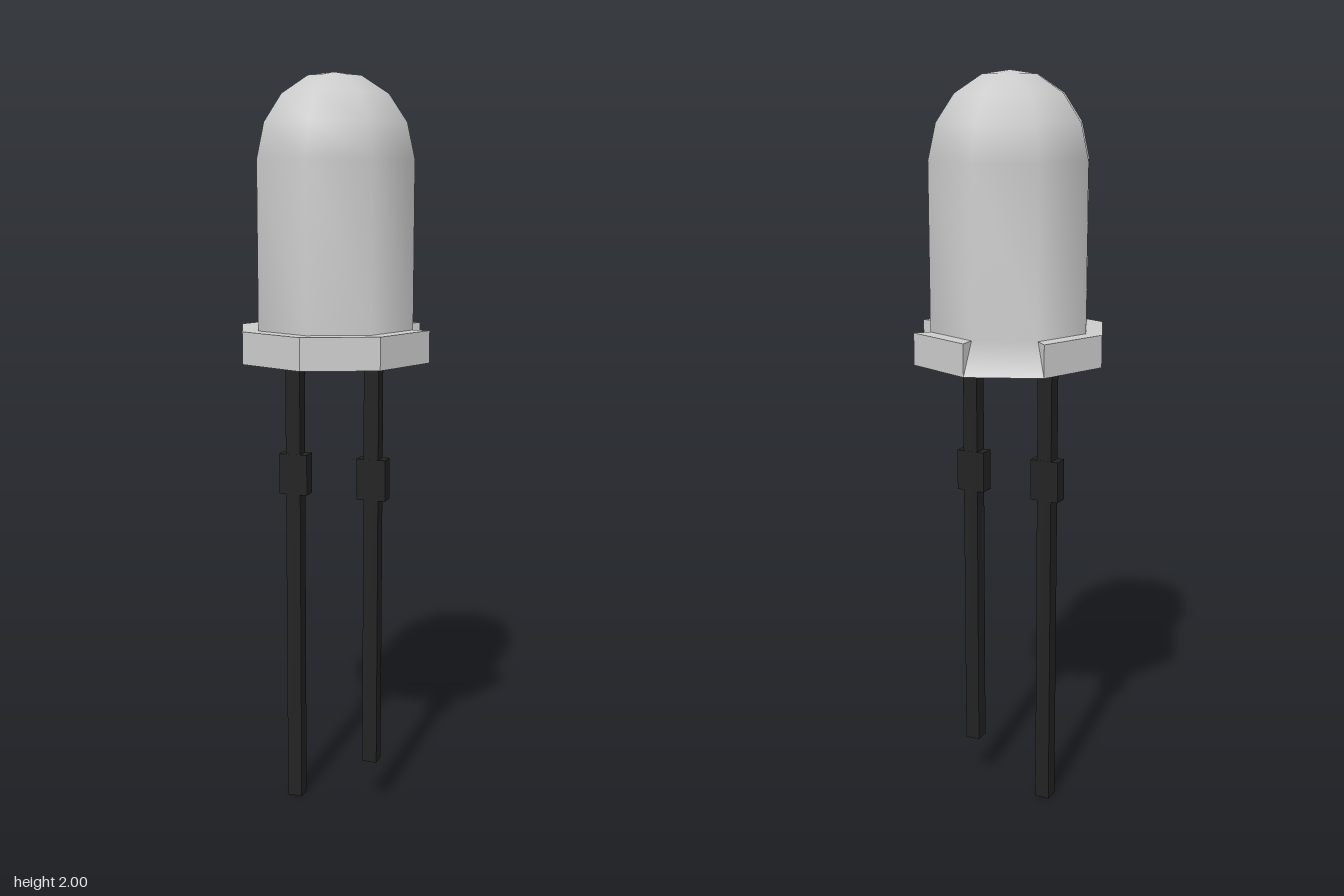
import * as THREE from 'three';
import { mergeGeometries, mergeVertices } from 'three/addons/utils/BufferGeometryUtils.js';

const SIDES = 8;
const BODY_R = 0.218, COLLAR_R = 0.263;
const COLLAR_Y0 = 1.26, COLLAR_Y1 = 1.345;
const SLOPED = [2, 4]; // collar sides that fall away as a slope instead of a step

// Corner k of an octagonal ring
const corner = (k, r, y) => {
  const a = (k * Math.PI * 2) / SIDES;
  return [r * Math.sin(a), y, r * Math.cos(a)];
};
const quad = (a, b, c, d) => [...a, ...b, ...c, ...a, ...c, ...d];

function fromTriangles(points) {
  const g = new THREE.BufferGeometry();
  g.setAttribute('position', new THREE.Float32BufferAttribute(points, 3));
  g.computeVertexNormals();
  return g;
}

// Domed lens, smooth-shaded together with the two slopes at its foot
function lensGeometry() {
  const profile = [
    [BODY_R, COLLAR_Y1], [BODY_R, 1.78], [0.197, 1.872],
    [0.148, 1.943], [0.074, 1.99], [0, 2],
  ].map(([r, y]) => new THREE.Vector2(r, y));
  const lathe = new THREE.LatheGeometry(profile, SIDES).toNonIndexed();
  const slopes = fromTriangles(SLOPED.flatMap((k) => quad(
    corner(k, COLLAR_R, COLLAR_Y0), corner(k + 1, COLLAR_R, COLLAR_Y0),
    corner(k + 1, BODY_R, COLLAR_Y1), corner(k, BODY_R, COLLAR_Y1))));
  for (const g of [lathe, slopes]) {
    g.deleteAttribute('normal');
    g.deleteAttribute('uv');
  }
  const merged = mergeVertices(mergeGeometries([lathe, slopes]), 1e-4);
  merged.computeVertexNormals();
  return merged;
}

// Stepped collar: outer wall and flat top, or end triangles beside a slope
function collarGeometry() {
  const tris = [];
  for (let k = 0; k < SIDES; k++) {
    const [a, b] = [k, k + 1].map((i) => ({
      low: corner(i, COLLAR_R, COLLAR_Y0),
      high: corner(i, COLLAR_R, COLLAR_Y1),
      inner: corner(i, BODY_R, COLLAR_Y1),
    }));
    if (SLOPED.includes(k)) {
      tris.push(...a.low, ...a.inner, ...a.high, ...b.low, ...b.high, ...b.inner);
    } else {
      tris.push(...quad(a.low, b.low, b.high, a.high));
      tris.push(...quad(a.high, b.high, b.inner, a.inner));
    }
  }
  return fromTriangles(tris);
}

export function createModel() {
  const model = new THREE.Group();
  const grey = new THREE.MeshStandardMaterial({ color: 0xcccccc });
  const black = new THREE.MeshStandardMaterial({ color: 0x222222 });

  const add = (parent, name, geometry, material) => {
    const mesh = new THREE.Mesh(geometry, material);
    mesh.name = name;
    parent.add(mesh);
    return mesh;
  };

  add(model, 'lens', lensGeometry(), grey);
  add(model, 'collar', collarGeometry(), grey);
  add(model, 'base', new THREE.CircleGeometry(COLLAR_R, SIDES).rotateX(Math.PI / 2), grey)
    .position.y = COLLAR_Y0;

  // Wire legs of unequal length, each with a wider stop
  const addLeg = (name, x, bottom) => {
    const leg = new THREE.Group();
    leg.name = name;
    leg.position.x = x;
    const height = COLLAR_Y0 - bottom;
    add(leg, 'wire', new THREE.BoxGeometry(0.041, height, 0.041), black)
      .position.y = bottom + height / 2;
    add(leg, 'stop', new THREE.BoxGeometry(0.08, 0.112, 0.042), black).position.y = 0.94;
    model.add(leg);
  };
  addLeg('longLeg', -0.111, 0);
  addLeg('shortLeg', 0.111, 0.135);

  return model;
}
